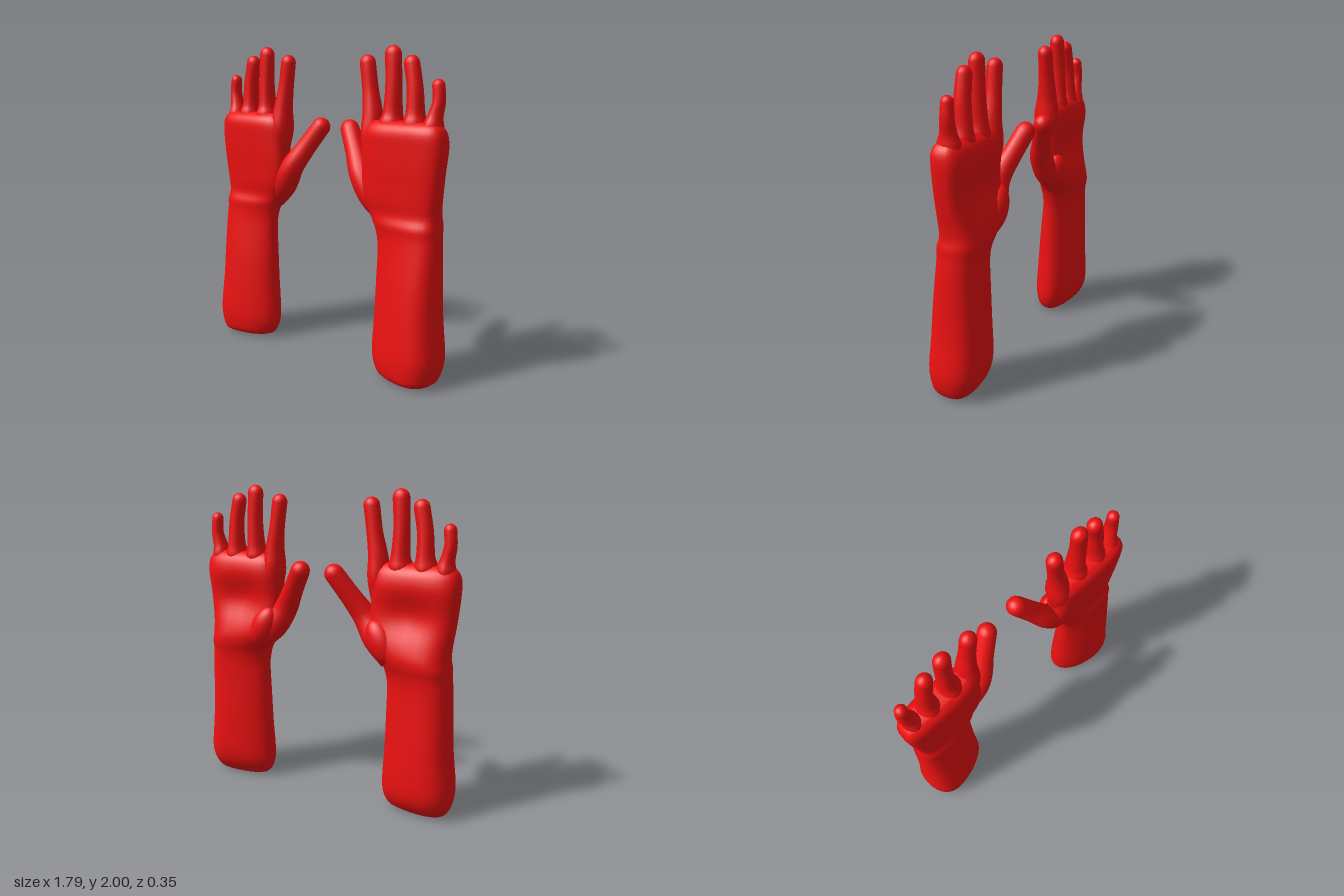
import * as THREE from 'three';

const red = new THREE.MeshStandardMaterial({ color: 0xee1111 });
const V = (x, y, z) => new THREE.Vector3(x, y, z);
const SEG = 32;

// Skin a stack of rings and close both ends; side = -1 mirrors the part in x
function loft(name, rings, startPole, endPole, side) {
  const pos = [], idx = [], n = rings[0].length;
  const put = p => pos.push(p.x * side, p.y, p.z);
  const tri = (a, b, c) => (side > 0 ? idx.push(a, b, c) : idx.push(a, c, b));
  rings.flat().forEach(put);
  put(startPole);
  put(endPole);
  const s = rings.length * n, e = s + 1, last = s - n;
  for (let i = 0; i < n; i++) {
    const j = (i + 1) % n;
    for (let r = 0; r < rings.length - 1; r++) {
      const a = r * n + i, b = r * n + j;
      tri(a, a + n, b);
      tri(b, a + n, b + n);
    }
    tri(s, i, j);
    tri(e, last + j, last + i);
  }
  const g = new THREE.BufferGeometry();
  g.setAttribute('position', new THREE.Float32BufferAttribute(pos, 3));
  g.setIndex(idx);
  g.computeVertexNormals();
  const mesh = new THREE.Mesh(g, red);
  mesh.name = name;
  return mesh;
}

// Forearm and palm sections: y, inner x, outer x, front depth, back depth
const sections = [
  [0.005, 0.51, 0.81, 0.11, 0.06],
  [0.03, 0.46, 0.86, 0.155, 0.095],
  [0.10, 0.428, 0.885, 0.17, 0.14],
  [0.20, 0.423, 0.893, 0.173, 0.16],
  [0.40, 0.435, 0.873, 0.157, 0.157],
  [0.60, 0.44, 0.865, 0.138, 0.15],
  [0.80, 0.443, 0.86, 0.112, 0.145],
  [0.90, 0.43, 0.852, 0.102, 0.15],
  [0.96, 0.41, 0.85, 0.102, 0.163],
  [1.02, 0.378, 0.84, 0.082, 0.163],
  [1.10, 0.342, 0.845, 0.088, 0.145],
  [1.20, 0.33, 0.86, 0.092, 0.122],
  [1.30, 0.33, 0.872, 0.097, 0.115],
  [1.42, 0.335, 0.882, 0.10, 0.128],
  [1.50, 0.345, 0.878, 0.10, 0.115],
  [1.545, 0.37, 0.855, 0.08, 0.09],
  [1.57, 0.40, 0.82, 0.045, 0.055],
];
const widths = new THREE.CatmullRomCurve3(sections.map(s => V(s[1], s[0], s[2])), false, 'catmullrom');
const depths = new THREE.CatmullRomCurve3(sections.map(s => V(s[3], s[0], s[4])), false, 'catmullrom');

function armAndPalm(side) {
  const rings = [], rows = (sections.length - 1) * 3;
  for (let r = 0; r <= rows; r++) {
    const w = widths.getPoint(r / rows), d = depths.getPoint(r / rows), y = w.y;
    const hand = THREE.MathUtils.smoothstep(y, 0.8, 1.15);
    const taper = 0.28 * (1 - hand); // forearm is thicker on its outer side
    const power = 0.85 - 0.2 * hand; // palm is boxier than the forearm
    const ring = [];
    for (let i = 0; i < SEG; i++) {
      const a = (i / SEG) * Math.PI * 2, c = Math.cos(a), s = Math.sin(a);
      const u = Math.sign(c) * Math.abs(c) ** power;
      let z = Math.sign(s) * Math.abs(s) ** power * (s > 0 ? d.x : d.z);
      z *= (1 + taper * u) / (1 + taper * 0.2);
      // hollow of the palm
      if (s < 0) z += 0.04 * Math.exp(-((u / 0.5) ** 2) - ((y - 1.27) / 0.12) ** 2) * -s;
      ring.push(V((w.x + w.z) / 2 + u * (w.z - w.x) / 2, y, z));
    }
    rings.push(ring);
  }
  return loft('forearmAndPalm', rings, V(0.66, 0.03, 0.02), V(0.61, 1.575, -0.005), side);
}

// Round-tipped digit; each point is x, y, z, radius across, radius front to back
function digit(name, pts, side) {
  const path = new THREE.CatmullRomCurve3(pts.map(p => V(p[0], p[1], p[2])), false, 'catmullrom');
  const radii = new THREE.CatmullRomCurve3(pts.map(p => V(p[3], p[4], 0)), false, 'catmullrom');
  const rings = [];
  const addRing = (t, lift, shrink) => {
    const T = path.getTangent(t), R = radii.getPoint(t);
    const across = T.clone().cross(V(0, 0, 1)).normalize();
    const fwd = across.clone().cross(T);
    const c = path.getPoint(t).addScaledVector(T, lift * R.x);
    rings.push(Array.from({ length: 16 }, (_, i) => {
      const a = (i / 16) * Math.PI * 2;
      return c.clone().addScaledVector(across, Math.cos(a) * R.x * shrink)
        .addScaledVector(fwd, Math.sin(a) * R.y * shrink);
    }));
  };
  for (let i = 0; i <= 16; i++) addRing(i / 16, 0, 1);
  for (let k = 1; k < 5; k++) addRing(1, Math.sin(k * Math.PI / 10), Math.cos(k * Math.PI / 10));
  const tip = path.getPoint(1).addScaledVector(path.getTangent(1), radii.getPoint(1).x);
  return loft(name, rings, path.getPoint(0), tip, side);
}

const digits = {
  indexFinger: [[0.385, 1.32, -0.01, 0.055, 0.06], [0.373, 1.47, -0.015, 0.068, 0.085], [0.367, 1.60, -0.02, 0.06, 0.068],
    [0.345, 1.74, -0.025, 0.049, 0.052], [0.322, 1.9, -0.025, 0.05, 0.046]],
  middleFinger: [[0.51, 1.45, -0.01, 0.06, 0.07], [0.51, 1.55, -0.015, 0.075, 0.082], [0.512, 1.62, -0.02, 0.056, 0.065],
    [0.516, 1.78, -0.02, 0.049, 0.053], [0.508, 1.95, -0.02, 0.052, 0.045]],
  ringFinger: [[0.67, 1.45, -0.01, 0.06, 0.07], [0.67, 1.55, -0.015, 0.072, 0.08], [0.668, 1.62, -0.02, 0.054, 0.063],
    [0.662, 1.76, -0.02, 0.048, 0.051], [0.637, 1.898, -0.02, 0.048, 0.044]],
  littleFinger: [[0.79, 1.45, -0.01, 0.055, 0.065], [0.793, 1.545, -0.015, 0.058, 0.072], [0.803, 1.61, -0.02, 0.043, 0.052],
    [0.82, 1.69, -0.025, 0.037, 0.042], [0.814, 1.778, -0.025, 0.037, 0.037]],
  thumb: [[0.48, 0.98, -0.05, 0.07, 0.075], [0.375, 1.1, -0.03, 0.09, 0.09], [0.287, 1.225, -0.02, 0.077, 0.075],
    [0.205, 1.355, -0.065, 0.065, 0.062], [0.12, 1.49, -0.115, 0.061, 0.06]],
};

// Fleshy pad at the root of the thumb
function thumbPad(side) {
  const pad = new THREE.Mesh(new THREE.SphereGeometry(1, 24, 16), red);
  pad.name = 'thumbPad';
  pad.scale.set(0.085, 0.15, 0.075);
  pad.position.set(0.43 * side, 1.09, -0.082);
  pad.rotation.z = 0.5 * side;
  return pad;
}

function hand(name, side) {
  const g = new THREE.Group();
  g.name = name;
  g.add(armAndPalm(side), thumbPad(side));
  for (const [part, pts] of Object.entries(digits)) g.add(digit(part, pts, side));
  return g;
}

export function createModel() {
  const model = new THREE.Group();
  model.name = 'pairOfHands';
  model.add(hand('leftHand', 1), hand('rightHand', -1));
  return model;
}
